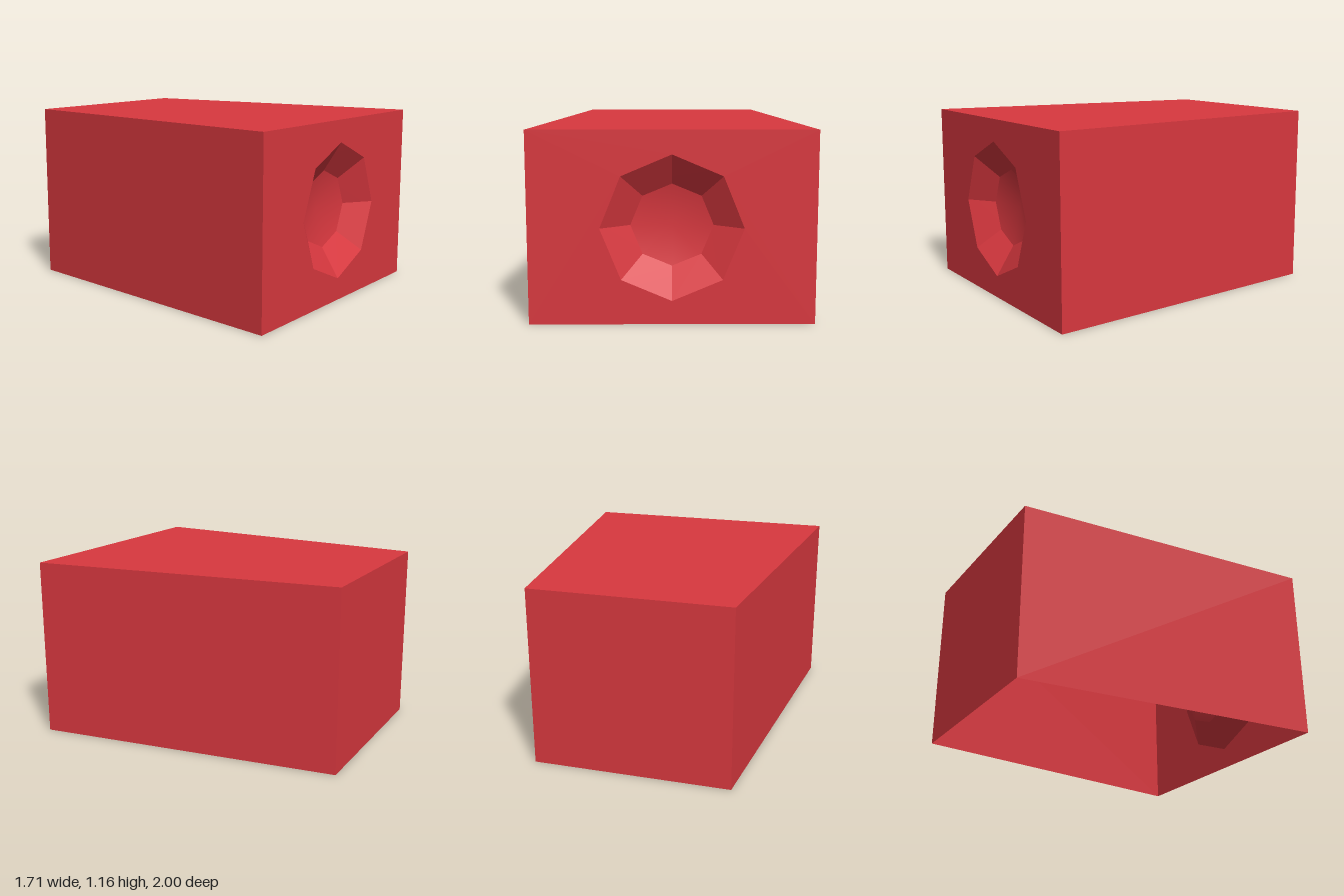
import * as THREE from 'three';

const H = 1.16, FRONT = 0.853, BACK = 0.637, CY = 0.58;

export function createModel() {
  const model = new THREE.Group();
  model.name = 'taperedHood';

  const red = new THREE.MeshStandardMaterial({ color: 0xd9383f, side: THREE.DoubleSide });
  red.name = 'red';

  const add = (name, geometry) => {
    const mesh = new THREE.Mesh(geometry, red);
    mesh.name = name;
    model.add(mesh);
  };

  const surface = (points, index) => {
    const g = new THREE.BufferGeometry();
    g.setAttribute('position', new THREE.Float32BufferAttribute(points.flat(), 3));
    g.setIndex(index);
    g.computeVertexNormals();
    return g;
  };
  // flat panel, corners counter-clockwise from outside
  const quad = (a, b, c, d) => surface([a, b, c, d], [0, 1, 2, 0, 2, 3]);

  // octagonal ring with a corner at the top
  const ring = (rx, ry, z) => Array.from({ length: 8 }, (_, i) => {
    const a = i * Math.PI / 4;
    return [Math.cos(a) * rx, CY + Math.sin(a) * ry, z];
  });
  const rim = ring(0.427, 0.437, 1);
  const inner = ring(0.25, 0.25, 0.88);

  // thin shell, open underneath
  add('leftPanel', quad([FRONT, 0, 1], [BACK, 0, -1], [BACK, H, -1], [FRONT, H, 1]));
  add('rightPanel', quad([-BACK, 0, -1], [-FRONT, 0, 1], [-FRONT, H, 1], [-BACK, H, -1]));
  add('backPanel', quad([BACK, 0, -1], [-BACK, 0, -1], [-BACK, H, -1], [BACK, H, -1]));
  add('topPanel', quad([-FRONT, H, 1], [FRONT, H, 1], [BACK, H, -1], [-BACK, H, -1]));

  // front panel with an octagonal opening
  const front = new THREE.Shape([[-FRONT, 0], [FRONT, 0], [FRONT, H], [-FRONT, H]]
    .map(([x, y]) => new THREE.Vector2(x, y)));
  front.holes.push(new THREE.Path(rim.map(([x, y]) => new THREE.Vector2(x, y))));
  add('frontPanel', new THREE.ShapeGeometry(front).translate(0, 0, 1));

  // faceted wall of the recess
  const wall = [], wallIndex = [];
  for (let i = 0; i < 8; i++) {
    const j = (i + 1) % 8, n = wall.length;
    wall.push(rim[i], rim[j], inner[j], inner[i]);
    wallIndex.push(n, n + 1, n + 2, n, n + 2, n + 3);
  }
  add('recessWall', surface(wall, wallIndex));

  // smooth shallow bowl closing the recess
  const bowlIndex = [];
  for (let i = 0; i < 8; i++) bowlIndex.push(8, i, (i + 1) % 8);
  add('recessBowl', surface([...inner, [0, CY, 0.825]], bowlIndex));

  return model;
}
